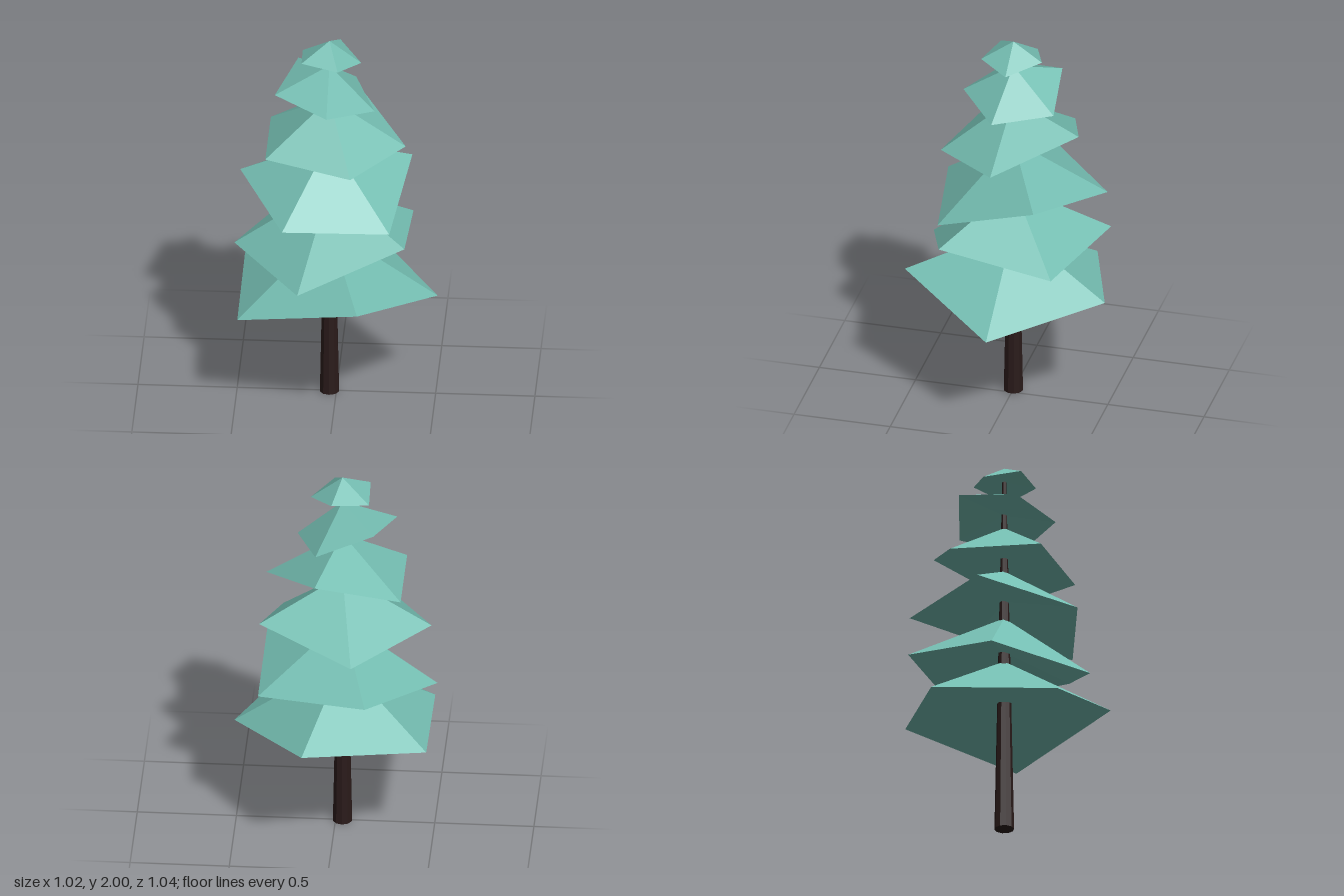
import * as THREE from 'three';

const AXIS_X = -0.035; // the trunk stands slightly off centre

// One drooping branch tier: five uneven rim points [x, y, z], a peak and a hollow underside.
function tierGeometry(peak, hollow, rim) {
  const top = [AXIS_X, peak, 0];
  const under = [AXIS_X, hollow, 0];
  const positions = [];
  rim.forEach((a, i) => {
    const b = rim[(i + 1) % rim.length];
    positions.push(...top, ...b, ...a);
    positions.push(...under, ...a, ...b);
  });
  const geometry = new THREE.BufferGeometry();
  geometry.setAttribute('position', new THREE.Float32BufferAttribute(positions, 3));
  geometry.computeVertexNormals();
  return geometry;
}

// Tiers from bottom to top; rim points run from +x towards +z.
const TIERS = [
  { peak: 0.93, hollow: 0.7, rim: [
    [0.51, 0.56, 0], [0.135, 0.71, 0.52], [-0.48, 0.56, 0.32], [-0.48, 0.6, -0.32], [0.135, 0.66, -0.52]] },
  { peak: 1.17, hollow: 0.98, rim: [
    [0.36, 0.975, 0.285], [-0.17, 0.78, 0.45], [-0.515, 0.825, -0.01], [-0.18, 0.925, -0.47], [0.37, 0.88, -0.3]] },
  { peak: 1.43, hollow: 1.26, rim: [
    [0.285, 1.07, 0.31], [-0.25, 1.11, 0.395], [-0.49, 1.205, -0.085], [-0.11, 1.16, -0.47], [0.37, 1.25, -0.21]] },
  { peak: 1.67, hollow: 1.5, rim: [
    [0.35, 1.42, 0.02], [0.09, 1.395, 0.345], [-0.345, 1.43, 0.22], [-0.345, 1.425, -0.24], [0.08, 1.565, -0.37]] },
  { peak: 1.86, hollow: 1.74, rim: [
    [0.195, 1.635, 0.055], [-0.035, 1.69, 0.26], [-0.305, 1.73, 0.09], [-0.205, 1.785, -0.21], [0.085, 1.67, -0.24]] },
  { peak: 2, hollow: 1.925, rim: [
    [0.125, 1.88, 0], [0.015, 1.905, 0.155], [-0.17, 1.92, 0.1], [-0.175, 1.895, -0.09], [0.01, 1.925, -0.16]] },
];

export function createModel() {
  const tree = new THREE.Group();
  tree.name = 'pineTree';

  // Tapering trunk running through all tiers
  const bark = new THREE.MeshStandardMaterial({ color: 0x2a1b1a, flatShading: true });
  const trunk = new THREE.Mesh(new THREE.CylinderGeometry(0.01, 0.05, 1.95, 10), bark);
  trunk.name = 'trunk';
  trunk.position.set(AXIS_X, 0.975, 0);
  tree.add(trunk);

  // Faceted foliage
  const needles = new THREE.MeshStandardMaterial({ color: 0x74bdb1, flatShading: true });
  const foliage = new THREE.Group();
  foliage.name = 'foliage';
  TIERS.forEach(({ peak, hollow, rim }, i) => {
    const tier = new THREE.Mesh(tierGeometry(peak, hollow, rim), needles);
    tier.name = `branchTier${i + 1}`;
    foliage.add(tier);
  });
  tree.add(foliage);

  return tree;
}
